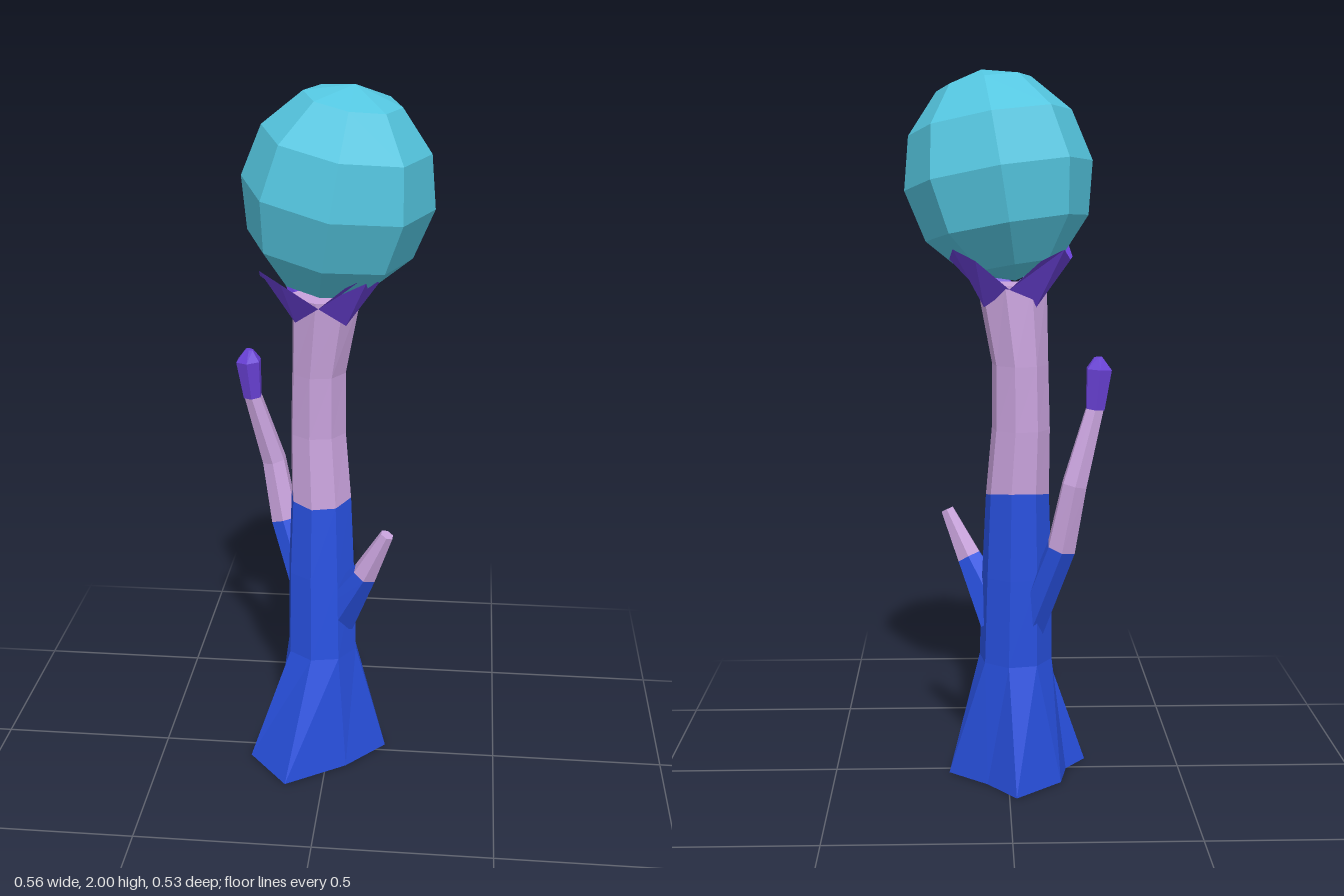
import * as THREE from 'three';

const mat = (name, color) => Object.assign(new THREE.MeshStandardMaterial({ color, flatShading: true }), { name });

// Skin a list of rings (arrays of Vector3, bottom to top), optionally closing the ends
function loft(rings, capBottom = false, capTop = false) {
  const p = [];
  const tri = (...v) => v.forEach((q) => p.push(q.x, q.y, q.z));
  const n = rings[0].length;
  const mid = (r) => r.reduce((s, v) => s.add(v), new THREE.Vector3()).divideScalar(n);
  for (let k = 0; k < rings.length - 1; k++) {
    for (let i = 0; i < n; i++) {
      const j = (i + 1) % n, a = rings[k], b = rings[k + 1];
      tri(a[i], a[j], b[j]);
      tri(a[i], b[j], b[i]);
    }
  }
  const first = rings[0], last = rings[rings.length - 1];
  for (let i = 0; i < n; i++) {
    const j = (i + 1) % n;
    if (capBottom) tri(mid(first), first[j], first[i]);
    if (capTop) tri(mid(last), last[i], last[j]);
  }
  const g = new THREE.BufferGeometry();
  g.setAttribute('position', new THREE.Float32BufferAttribute(p, 3));
  g.computeVertexNormals();
  return g;
}

// Rings square to a path of [x, y, z, radius] points
function pathRings(path, sides = 6) {
  const pts = path.map((q) => new THREE.Vector3(q[0], q[1], q[2]));
  return path.map((q, k) => {
    const dir = pts[Math.min(k + 1, pts.length - 1)].clone().sub(pts[Math.max(k - 1, 0)]).normalize();
    const turn = new THREE.Quaternion().setFromUnitVectors(new THREE.Vector3(0, 1, 0), dir);
    return Array.from({ length: sides }, (_, i) => {
      const a = (i / sides) * Math.PI * 2;
      return new THREE.Vector3(Math.sin(a), 0, Math.cos(a)).multiplyScalar(q[3]).applyQuaternion(turn).add(pts[k]);
    });
  });
}

export function createModel() {
  const group = new THREE.Group();
  const blue = mat('blue bark', 0x2850de);
  const lilac = mat('lilac bark', 0xc8a2dc);
  const purple = mat('purple leaf', 0x6840d4);
  const teal = mat('teal fruit', 0x54c6e0);
  const petalMat = purple;
  petalMat.side = THREE.DoubleSide;
  const add = (name, geometry, material) => {
    const m = new THREE.Mesh(geometry, material);
    m.name = name;
    group.add(m);
    return m;
  };

  // Trunk: uneven flared root, then eight-sided rings
  const root = [[-0.11, 0.21], [0.06, 0.095], [0.17, -0.03], [0.06, -0.12],
    [-0.02, -0.22], [-0.15, -0.11], [-0.17, -0.01], [-0.23, 0.065]]
    .map(([x, z]) => new THREE.Vector3(x, 0, z));
  const ring = (y, cx, cz, rx, rz, wave = 0) => Array.from({ length: 8 }, (_, i) => {
    const a = ((-12 + 45 * i) * Math.PI) / 180;
    return new THREE.Vector3(cx + rx * Math.sin(a), y - wave * Math.cos(a), cz + rz * Math.cos(a));
  });
  const seam = ring(0.83, -0.026, -0.042, 0.09, 0.093, 0.018);
  add('lowerTrunk', loft([root,
    ring(0.35, -0.022, -0.022, 0.105, 0.114),
    ring(0.6, -0.025, -0.033, 0.1, 0.104), seam]), blue);
  add('rootUnderside', loft([root, root], true), lilac);
  add('upperTrunk', loft([seam,
    ring(1.02, -0.035, -0.052, 0.082, 0.086),
    ring(1.2, -0.033, -0.05, 0.079, 0.087),
    ring(1.42, -0.01, -0.038, 0.098, 0.093)], false, true), lilac);

  // Tall side branch with a bud
  const tall = pathRings([[-0.06, 0.45, -0.07, 0.045], [-0.145, 0.7, -0.14, 0.043],
    [-0.178, 0.88, -0.16, 0.037], [-0.235, 1.09, -0.135, 0.026]]);
  add('tallBranchBase', loft(tall.slice(0, 2)), blue);
  add('tallBranch', loft(tall.slice(1), false, true), lilac);
  add('bud', loft(pathRings([[-0.235, 1.085, -0.135, 0.028],
    [-0.245, 1.195, -0.132, 0.038], [-0.242, 1.228, -0.132, 0.012]]), true, true), purple);

  // Short side branch
  const short = pathRings([[0.02, 0.46, -0.01, 0.07], [0.11, 0.625, 0.055, 0.038], [0.173, 0.76, 0.08, 0.02]]);
  add('shortBranchBase', loft(short.slice(0, 2)), blue);
  add('shortBranch', loft(short.slice(1), false, true), lilac);

  // Crown of four flaring petals, each folded along its middle
  for (const deg of [38, 130, 220, 308]) {
    const at = (off, r, y) => {
      const a = ((deg + off) * Math.PI) / 180;
      return [-0.01 + r * Math.sin(a), y, -0.03 + r * Math.cos(a)];
    };
    const low = [at(-45, 0.098, 1.41), at(0, 0.1, 1.36), at(45, 0.098, 1.41)];
    const high = [at(-17, 0.185, 1.49), at(0, 0.21, 1.52), at(17, 0.185, 1.49)];
    const g = new THREE.BufferGeometry();
    const v = [];
    for (let i = 0; i < 2; i++) {
      v.push(...low[i], ...low[i + 1], ...high[i + 1], ...low[i], ...high[i + 1], ...high[i]);
    }
    g.setAttribute('position', new THREE.Float32BufferAttribute(v, 3));
    g.computeVertexNormals();
    add('petal', g, petalMat);
  }

  // Faceted fruit, slightly tilted
  const fruit = add('fruit', new THREE.SphereGeometry(1, 8, 6), teal);
  fruit.scale.set(0.262, 0.29, 0.265);
  fruit.position.set(0.025, 1.713, 0);
  fruit.rotation.set(0.1, 0, -0.16);
  return group;
}
